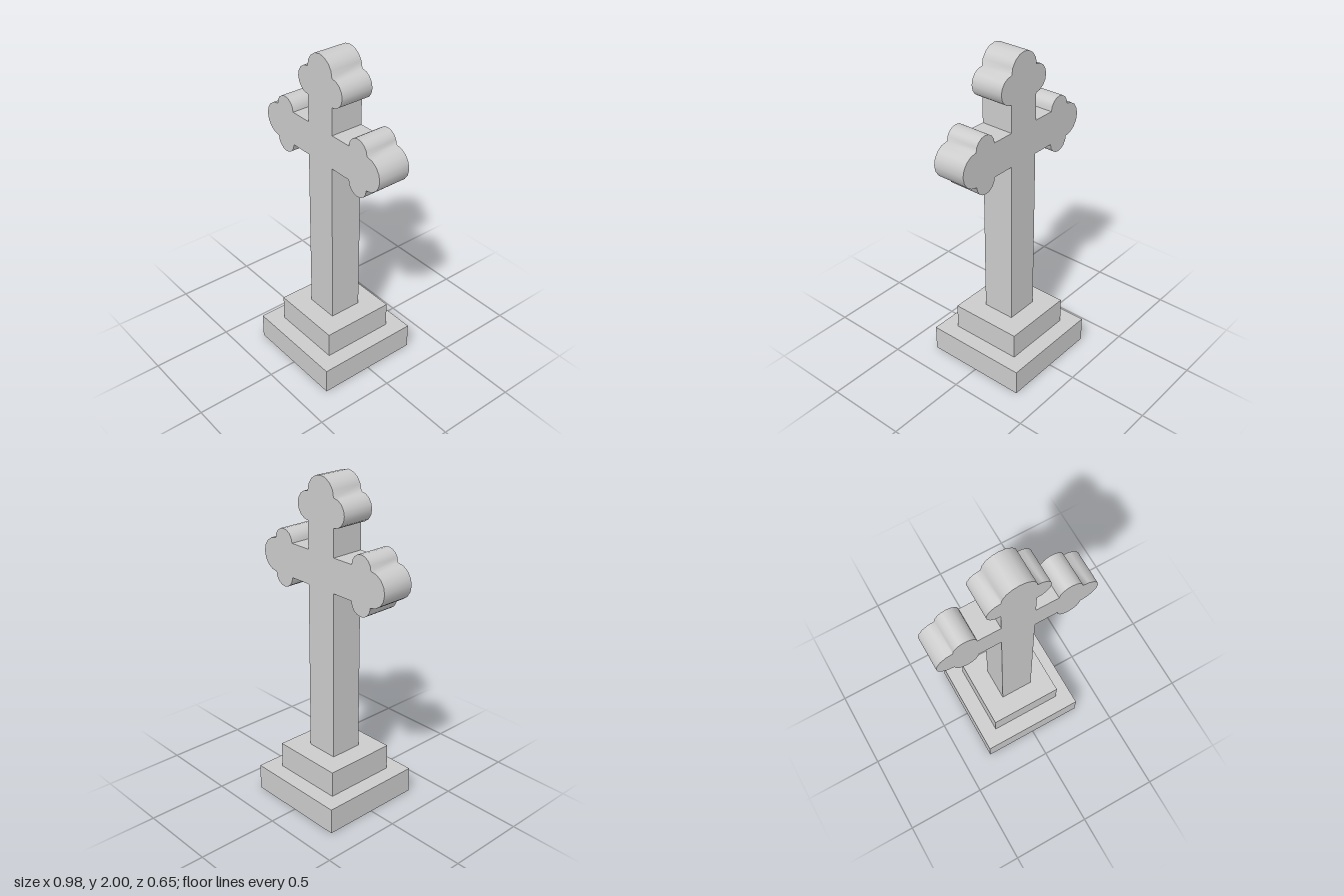
import * as THREE from 'three';
import { toCreasedNormals } from 'three/addons/utils/BufferGeometryUtils.js';

const material = new THREE.MeshStandardMaterial({ color: 0xcccccc, side: THREE.DoubleSide });

// Removes the underside (all triangles lying at the lowest y), leaving an open shell
function openBottom(source) {
  const geometry = source.index ? source.toNonIndexed() : source;
  geometry.computeBoundingBox();
  const low = geometry.boundingBox.min.y + 1e-4;
  const p = geometry.attributes.position;
  const kept = [];
  for (let i = 0; i < p.count; i += 3) {
    const flat = [0, 1, 2].every(k => p.getY(i + k) < low);
    if (!flat) for (let k = 0; k < 3; k++) kept.push(p.getX(i + k), p.getY(i + k), p.getZ(i + k));
  }
  const open = new THREE.BufferGeometry();
  open.setAttribute('position', new THREE.Float32BufferAttribute(kept, 3));
  open.computeVertexNormals();
  return open;
}

// Right half of the cross outline, from the foot up to the apex
function halfOutline() {
  const pts = [];
  const add = (x, y) => pts.push(new THREE.Vector2(x, y));
  const lobe = (cx, cy, r, start, steps = 8) => {
    for (let i = 1; i <= steps; i++) {
      const a = start + (i * Math.PI) / 8;
      add(cx + r * Math.cos(a), cy + r * Math.sin(a));
    }
  };
  add(0.103, 0);
  add(0.103, 1.36);
  add(0.243, 1.36);
  // trefoil at the end of the arm
  lobe(0.315, 1.36, 0.072, Math.PI);
  lobe(0.387, 1.463, 0.103, -Math.PI / 2);
  lobe(0.315, 1.566, 0.072, 0);
  add(0.103, 1.566);
  add(0.103, 1.731);
  // trefoil at the head
  lobe(0.103, 1.814, 0.083, -Math.PI / 2);
  lobe(0, 1.897, 0.103, 0, 4);
  return pts;
}

export function createModel() {
  const model = new THREE.Group();
  model.name = 'trefoilCross';

  const addPart = (name, geometry) => {
    const mesh = new THREE.Mesh(geometry, material);
    mesh.name = name;
    model.add(mesh);
    return mesh;
  };

  // Stepped pedestal, hollow from below
  const steps = [['lowerStep', 0.65, 0], ['upperStep', 0.454, 0.16]];
  for (const [name, width, y] of steps) {
    addPart(name, openBottom(new THREE.BoxGeometry(width, 0.16, width))).position.y = y + 0.08;
  }

  // Shaft, arms and lobes as one slab, running down through the pedestal
  const right = halfOutline();
  const left = right.slice(0, -1).reverse().map(p => new THREE.Vector2(-p.x, p.y));
  const slab = new THREE.ExtrudeGeometry(new THREE.Shape([...right, ...left]), {
    depth: 0.204, bevelEnabled: false,
  });
  slab.translate(0, 0, -0.102);
  addPart('cross', toCreasedNormals(openBottom(slab), 1.25));

  return model;
}
